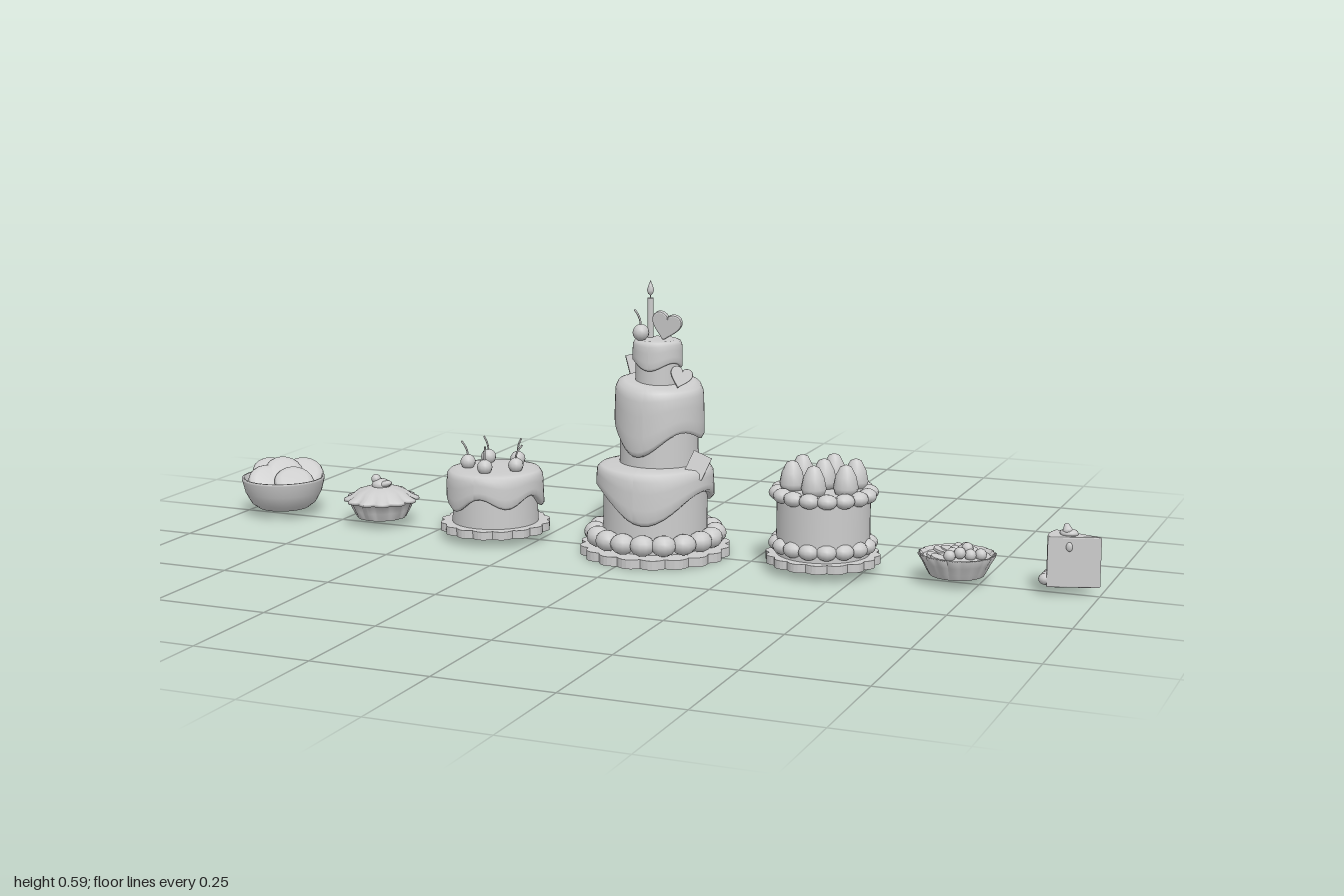
import * as THREE from 'three';

const mat = new THREE.MeshStandardMaterial({ color: 0xcccccc, side: THREE.DoubleSide });
const TAU = Math.PI * 2;

function add(parent, name, geo, x = 0, y = 0, z = 0, rot = [0, 0, 0], scale = [1, 1, 1]) {
  const m = new THREE.Mesh(geo, mat);
  m.name = name;
  m.position.set(x, y, z);
  m.rotation.set(...rot);
  m.scale.set(...scale);
  parent.add(m);
  return m;
}

function group(parent, name, x, y = 0) {
  const g = new THREE.Group();
  g.name = name;
  g.position.set(x, y, 0);
  parent.add(g);
  return g;
}

const lathe = (pts, seg = 32) => new THREE.LatheGeometry(pts.map(p => new THREE.Vector2(...p)), seg);
const ball = r => new THREE.SphereGeometry(r, 12, 8);

// Calls fn(x, z, angle) for n places on a circle
function around(n, r, fn, start = 0) {
  for (let i = 0; i < n; i++) {
    const a = start + i * TAU / n;
    fn(Math.cos(a) * r, Math.sin(a) * r, a);
  }
}

// Flat plate with a scalloped edge
function plate(parent, r, h, lobes) {
  const pts = [];
  const n = lobes * 6;
  for (let i = 0; i < n; i++) {
    const a = i * TAU / n;
    const rr = r * (0.93 + 0.07 * Math.abs(Math.sin(a * lobes / 2)));
    pts.push(new THREE.Vector2(Math.cos(a) * rr, Math.sin(a) * rr));
  }
  const geo = new THREE.ExtrudeGeometry(new THREE.Shape(pts), { depth: h, bevelEnabled: false });
  geo.rotateX(-Math.PI / 2);
  add(parent, 'plate', geo);
}

// Poured icing: rounded shoulder, sides running down to the height low(angle)
function icing(parent, name, r, top, low, x = 0, z = 0, tilt = () => 0) {
  const geo = lathe([[r * 0.8, 0.05], [r * 0.95, 0], [r, 0.08], [r, 0.3], [r * 0.99, 0.6], [r * 0.98, 0.82],
    [r * 0.92, 0.95], [r * 0.78, 1], [r * 0.4, 1], [0, 1]], 48);
  const p = geo.attributes.position;
  for (let i = 0; i < p.count; i++) {
    const a = Math.atan2(p.getZ(i), p.getX(i));
    const d = Math.hypot(p.getX(i), p.getZ(i)) / r;
    const hi = top + tilt(a) * d;
    p.setY(i, low(a) + p.getY(i) * (hi - low(a)));
  }
  geo.computeVertexNormals();
  add(parent, name, geo, x, 0, z);
}

function cherry(parent, x, y, z, r, lean = 0.2) {
  add(parent, 'cherry', ball(r), x, y, z);
  const curve = new THREE.QuadraticBezierCurve3(new THREE.Vector3(0, r * 0.8, 0),
    new THREE.Vector3(0, r * 1.8, 0), new THREE.Vector3(r * lean * 4, r * 2.7, 0));
  add(parent, 'cherryStem', new THREE.TubeGeometry(curve, 5, r * 0.13, 5), x, y, z);
}

function heart(parent, s, pos, rot) {
  const h = new THREE.Shape();
  h.moveTo(0, -s);
  h.bezierCurveTo(-s * 0.5, -s * 0.5, -s, -s * 0.1, -s, s * 0.3);
  h.bezierCurveTo(-s, s * 0.95, -s * 0.15, s * 0.95, 0, s * 0.4);
  h.bezierCurveTo(s * 0.15, s * 0.95, s, s * 0.95, s, s * 0.3);
  h.bezierCurveTo(s, -s * 0.1, s * 0.5, -s * 0.5, 0, -s);
  const geo = new THREE.ExtrudeGeometry(h, { depth: s * 0.25, bevelSize: s * 0.1, bevelThickness: s * 0.12, bevelSegments: 2, curveSegments: 8 });
  geo.translate(0, 0, -s * 0.12);
  add(parent, 'heart', geo, ...pos, rot);
}

// Shallow open-bottomed dish with a fluted wall
function flutedDish(parent, name, pts, flutes, depth) {
  const geo = lathe(pts, flutes * 6);
  const p = geo.attributes.position;
  for (let i = 0; i < p.count; i++) {
    const a = Math.atan2(p.getZ(i), p.getX(i));
    const r = Math.hypot(p.getX(i), p.getZ(i));
    const k = 1 - depth * (1 - Math.abs(Math.cos(a * flutes / 2))) * Math.min(1, Math.max(0, (r - 0.05) / 0.03));
    p.setXYZ(i, p.getX(i) * k, p.getY(i), p.getZ(i) * k);
  }
  geo.computeVertexNormals();
  add(parent, name, geo);
}

function beads(parent, name, n, ringR, y, r, sy = 0.8) {
  around(n, ringR, (x, z, a) => add(parent, name, ball(r), x, y, z, [0, -a, 0], [1, sy, 1.1]));
}

function tieredCake(root) {
  const g = group(root, 'tieredCake', 0.028);
  plate(g, 0.164, 0.02, 18);
  beads(g, 'creamBead', 18, 0.13, 0.044, 0.025, 0.9);
  add(g, 'lowerTier', new THREE.CylinderGeometry(0.112, 0.114, 0.165, 40), 0, 0.1, 0);
  icing(g, 'lowerIcing', 0.128, 0.2, a => 0.12 + 0.02 * Math.sin(3 * a + 0.5) + 0.016 * Math.sin(2 * a + 2));
  add(g, 'middleTier', new THREE.CylinderGeometry(0.083, 0.086, 0.16, 36), 0.003, 0.275, -0.015);
  icing(g, 'middleIcing', 0.097, 0.378, a => 0.27 - 0.025 * Math.sin(a) + 0.022 * Math.sin(3 * a - 0.6),
    0.005, -0.012, a => -0.008 * Math.sin(a) - 0.007 * Math.cos(a));
  add(g, 'upperTier', new THREE.CylinderGeometry(0.048, 0.049, 0.09, 32), 0, 0.41, -0.014);
  icing(g, 'upperIcing', 0.054, 0.467, a => 0.412 + 0.008 * Math.sin(3 * a), 0, -0.012);
  // Topping
  cherry(g, -0.028, 0.483, 0.014, 0.018, -0.2);
  heart(g, 0.03, [0.02, 0.498, -0.014], [0.12, 0.1, -0.25]);
  add(g, 'candle', new THREE.CylinderGeometry(0.007, 0.007, 0.09, 12), -0.024, 0.507, -0.03);
  add(g, 'wick', new THREE.CylinderGeometry(0.001, 0.001, 0.012, 5), -0.024, 0.556, -0.03);
  add(g, 'flame', lathe([[0, 0], [0.005, 0.004], [0.008, 0.012], [0.004, 0.024], [0, 0.034]], 12), -0.024, 0.557, -0.03);
  // Thin pieces stuck into the ledges
  const slab = new THREE.BoxGeometry(0.042, 0.052, 0.006);
  add(g, 'chocolateSlab', slab, 0.112, 0.208, 0.035, [-0.25, 0.3, -0.35]);
  add(g, 'chocolateSlab', slab, -0.068, 0.398, -0.062, [-0.25, 0.6, 0.35]);
  heart(g, 0.022, [0.068, 0.395, 0.024], [-0.25, 0.5, -0.2]);
  heart(g, 0.024, [-0.04, 0.213, -0.112], [-0.3, 0.4, 0.1]);
}

function cherryCake(root) {
  const g = group(root, 'cherryCake', -0.358, 0.018);
  plate(g, 0.123, 0.018, 16);
  add(g, 'sponge', new THREE.CylinderGeometry(0.094, 0.096, 0.105, 36), 0, 0.07, 0);
  icing(g, 'icing', 0.109, 0.138, a => 0.07 + 0.014 * Math.sin(5 * a + 0.4) + 0.007 * Math.sin(2 * a));
  around(5, 0.06, (x, z, a) => cherry(g, x, 0.15, z, 0.017, 0.25 * Math.cos(a)), 1.5);
}

function berryCake(root) {
  const g = group(root, 'strawberryCake', 0.411, 0.018);
  plate(g, 0.122, 0.018, 16);
  add(g, 'sponge', new THREE.CylinderGeometry(0.099, 0.099, 0.14, 40), 0, 0.087, 0);
  beads(g, 'lowerCream', 16, 0.096, 0.04, 0.02, 0.85);
  beads(g, 'upperCream', 16, 0.096, 0.148, 0.02, 0.8);
  const berry = lathe([[0, 0], [0.022, 0], [0.027, 0.014], [0.022, 0.038], [0.012, 0.058], [0, 0.063]], 14);
  around(6, 0.068, (x, z) => add(g, 'strawberry', berry, x, 0.156, z), Math.PI / 2);
  add(g, 'strawberry', berry, 0, 0.158, 0);
}

function cookieBowl(root) {
  const g = group(root, 'cookieBowl', -0.905, 0.018);
  add(g, 'bowl', lathe([[0.058, 0], [0.074, 0.012], [0.088, 0.038], [0.095, 0.066], [0.095, 0.071],
    [0.09, 0.071], [0.082, 0.04], [0.067, 0.014], [0.055, 0.004], [0.058, 0]], 36));
  // Round cookies leaning towards one corner
  const cookie = lathe([[0, -0.011], [0.03, -0.011], [0.042, -0.007], [0.046, 0], [0.042, 0.007], [0.03, 0.011], [0, 0.011]], 20);
  const spots = [[-0.042, 0.07, -0.02], [0.03, 0.072, -0.042], [-0.02, 0.062, 0.034], [0.04, 0.064, 0.018], [0, 0.077, -0.006], [0, 0.04, 0]];
  spots.forEach(([x, y, z], i) => add(g, 'cookie', cookie, x, y, z, [0.5 + 0.08 * (i % 3), 0, -0.55 + 0.15 * (i % 2)]));
}

function pie(root) {
  const g = group(root, 'pie', -0.647, 0.018);
  flutedDish(g, 'crust', [[0.056, 0], [0.066, 0.018], [0.074, 0.036], [0.086, 0.038], [0.085, 0.044], [0.07, 0.05],
    [0.055, 0.061], [0.03, 0.069], [0, 0.072]], 12, 0.14);
  add(g, 'cream', ball(0.022), 0, 0.073, 0, [0, 0, 0], [1, 0.65, 1]);
  add(g, 'berry', ball(0.011), -0.012, 0.086, 0.002);
  add(g, 'creamTip', ball(0.012), 0.014, 0.077, 0.008, [0, 0, 0.3], [1.5, 0.6, 0.9]);
}

function tart(root) {
  const g = group(root, 'fruitTart', 0.702, 0.018);
  flutedDish(g, 'crust', [[0.057, 0], [0.064, 0.012], [0.072, 0.028], [0.082, 0.044], [0.077, 0.046], [0.07, 0.036]], 18, 0.05);
  add(g, 'filling', new THREE.CylinderGeometry(0.072, 0.066, 0.012, 32), 0, 0.032, 0);
  // Berries heaped on one side
  for (let row = 0; row < 4; row++) {
    for (let i = 0; i <= row; i++) {
      add(g, 'berry', ball(0.0125), 0.05 - row * 0.019, 0.046 + (row === 2 ? 0.005 : 0), (i - row / 2) * 0.023);
    }
  }
  add(g, 'berry', ball(0.0125), 0.022, 0.057, 0.002);
  // Fruit slices along the other side
  around(4, 0.047, (x, z) => add(g, 'fruitSlice', new THREE.CylinderGeometry(0.017, 0.017, 0.005, 16),
    -Math.abs(x) - 0.002, 0.041, z, [0, 0, -0.25]), 0.6);
}

function slice(root) {
  const g = group(root, 'cakeSlice', 0.945, 0.018);
  const s = new THREE.Shape();
  s.moveTo(0.051, 0);
  s.lineTo(-0.045, 0.031);
  s.quadraticCurveTo(-0.056, 0, -0.045, -0.031);
  s.closePath();
  const geo = new THREE.ExtrudeGeometry(s, { depth: 0.1, bevelSize: 0.003, bevelThickness: 0.003, bevelSegments: 2 });
  geo.rotateX(-Math.PI / 2);
  add(g, 'wedge', geo, 0, 0.003, 0);
  // Cream along the outer foot and a topping
  for (const z of [-0.022, 0, 0.022]) add(g, 'creamBead', ball(0.014), -0.053, 0.014, z, [0, 0, 0], [1, 0.85, 0.9]);
  add(g, 'creamDollop', ball(0.018), -0.012, 0.109, 0, [0, 0, 0], [1.1, 0.5, 0.9]);
  add(g, 'strawberry', lathe([[0, 0], [0.01, 0.001], [0.011, 0.008], [0.005, 0.022], [0, 0.025]], 12), -0.012, 0.107, 0.006, [-0.5, 0, 0.3]);
  add(g, 'drip', ball(0.007), -0.006, 0.085, 0.021, [0, 0, 0], [1, 1.4, 0.7]);
}

export function createModel() {
  const root = new THREE.Group();
  root.name = 'dessertRow';
  [cookieBowl, pie, cherryCake, tieredCake, berryCake, tart, slice].forEach(build => build(root));
  return root;
}
